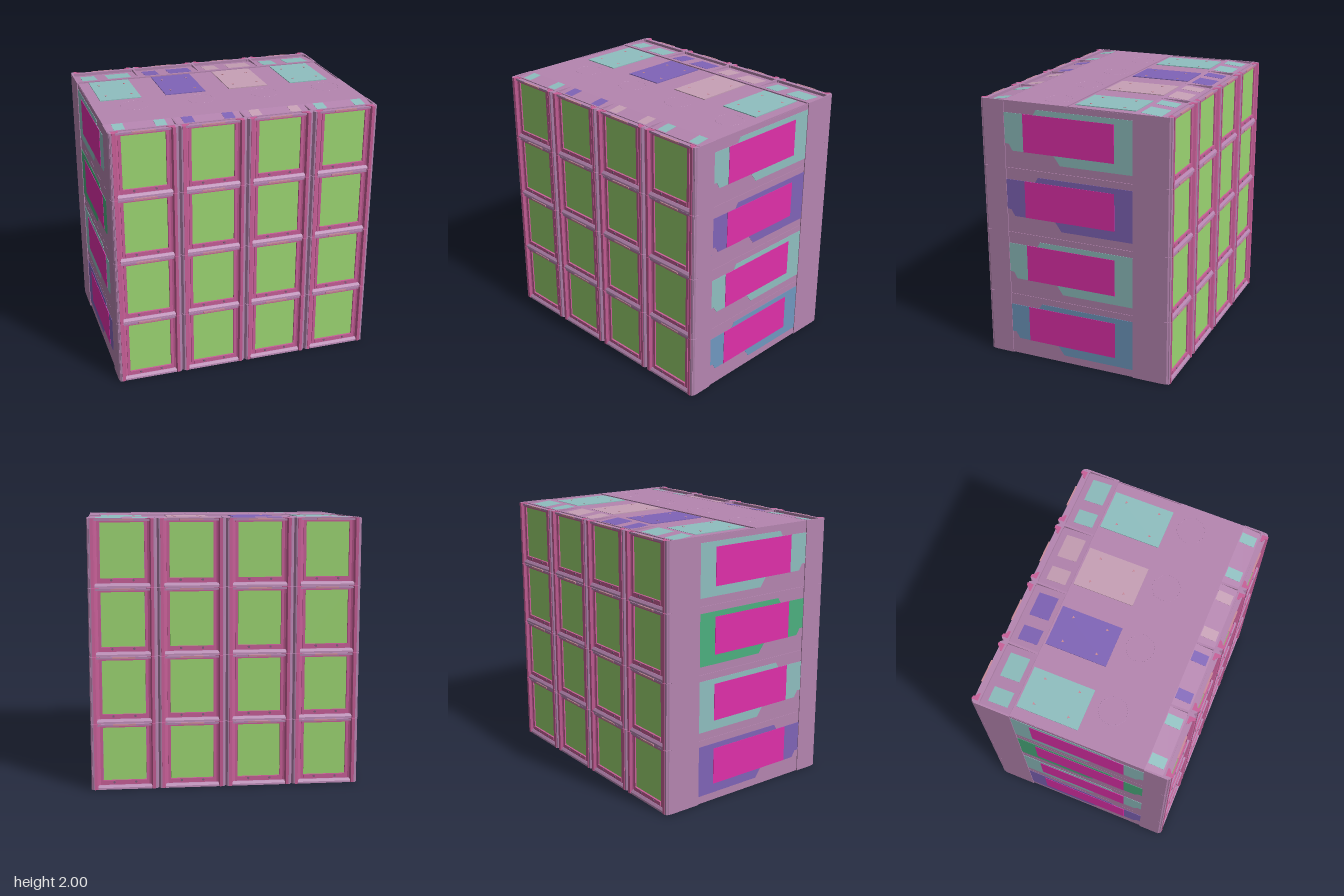
import * as THREE from 'three';

const mat = (color) => new THREE.MeshStandardMaterial({ color, flatShading: true, side: THREE.DoubleSide });
const M = {
  shell: mat(0xb585b0), dark: mat(0x84607f), pink: mat(0xc85f98), rose: mat(0xc98a9a),
  green: mat(0x9cd672), magenta: mat(0xe030aa), pipe: mat(0x6f88c0),
  teal: mat(0x8fbfc0), violet: mat(0x8064b8), blush: mat(0xc7a0b6), blue: mat(0x6f98c0), jade: mat(0x4cb080),
};

function add(parent, name, geo, material, x = 0, y = 0, z = 0) {
  const m = new THREE.Mesh(geo, material);
  m.name = name;
  m.position.set(x, y, z);
  parent.add(m);
  return m;
}
const box = (parent, name, material, w, h, d, x, y, z) =>
  add(parent, name, new THREE.BoxGeometry(w, h, d), material, x, y, z);
const outline = (pts) => new THREE.Shape(pts.map((p) => new THREE.Vector2(p[0], p[1])));
const rect = (x0, y0, x1, y1) => [[x0, y0], [x1, y0], [x1, y1], [x0, y1]];

// (z, y) outline swept along x, centred on x = 0
function sweepX(shape, width) {
  const g = new THREE.ExtrudeGeometry(shape, { depth: width, bevelEnabled: false });
  return g.rotateY(-Math.PI / 2).translate(width / 2, 0, 0);
}
// (x, z) outline swept upwards from y = 0
function sweepY(pts, height) {
  const g = new THREE.ExtrudeGeometry(outline(pts.map((p) => [p[0], -p[1]])), { depth: height, bevelEnabled: false });
  return g.rotateX(-Math.PI / 2);
}

// One window bay, facing +z, standing on y = 0
function makeBay(inner) {
  const bay = new THREE.Group();
  bay.name = 'windowBay';
  box(bay, 'backing', M.shell, 0.5, 0.5, 0.014, 0, 0.25, 0.69);
  box(bay, 'windowPanel', M.green, 0.316, 0.4, 0.016, 0, 0.27, 0.708);

  const ring = outline(rect(-0.18, 0.035, 0.18, 0.485));
  ring.holes.push(outline(rect(-0.16, 0.07, 0.16, 0.47)));
  add(bay, 'windowFrame', new THREE.ExtrudeGeometry(ring, { depth: 0.03, bevelEnabled: false }), M.pink, 0, 0, 0.695);

  // lower ledge with two bolts, grip at the top
  box(bay, 'ledge', M.pink, 0.32, 0.028, 0.012, 0, 0.056, 0.725);
  for (const s of [-1, 1]) {
    const bolt = add(bay, 'bolt', new THREE.CylinderGeometry(0.009, 0.009, 0.006, 8), M.dark, s * 0.08, 0.056, 0.733);
    bolt.rotation.x = Math.PI / 2;
  }
  add(bay, 'sill', sweepX(outline([[0.69, 0.002], [0.74, 0.002], [0.738, 0.015], [0.725, 0.032], [0.69, 0.04]]), 0.4), M.shell);
  box(bay, 'header', M.shell, 0.4, 0.014, 0.035, 0, 0.487, 0.7125);
  box(bay, 'grip', M.rose, 0.17, 0.012, 0.012, 0, 0.489, 0.731);

  // flared posts on both edges, with a V-shaped seam between neighbours
  for (const s of [-1, 1]) {
    const flare = [[0.168, 0.69], [0.172, 0.712], [0.195, 0.724], [0.205, 0.743], [0.226, 0.745], [0.226, 0.69]];
    const seam = [[0.226, 0.68], [0.226, 0.74], [0.236, 0.738], [0.25, 0.718], [0.25, 0.68]];
    add(bay, 'post', sweepY(flare.map(([x, z]) => [s * x, z]), 0.496), M.pink, 0, 0.002);
    add(bay, 'postEdge', sweepY(seam.map(([x, z]) => [s * x, z]), 0.496), M.shell, 0, 0.002);
    box(bay, 'rib', M.shell, 0.008, 0.5, 0.69 - inner, s * 0.246, 0.25, (0.69 + inner) / 2);
  }
  // sloping shelf behind the window
  add(bay, 'shelf', sweepX(outline([[inner, 0.5], [0.7, 0.478], [0.7, 0.468], [inner, 0.49]]), 0.492), M.shell);
  return bay;
}

// Coloured tiles on the sloping top edge: [x0, x1, z0, z1] from the bay centre
function addTiles(parent, cx, inner, tiles, material) {
  const slope = Math.atan2(0.022, 0.7 - inner);
  for (const [x0, x1, z0, z1] of tiles) {
    const z = (z0 + z1) / 2;
    const y = 2 - (z - inner) * Math.tan(slope);
    box(parent, 'edgeTile', material, x1 - x0, 0.003, z1 - z0, cx + (x0 + x1) / 2, y, z).rotation.x = slope;
  }
}

function makeFacade(inner, tiles, tileColors) {
  const facade = new THREE.Group();
  for (let c = 0; c < 4; c++) {
    const cx = -0.75 + c * 0.5;
    for (let r = 0; r < 4; r++) {
      const bay = makeBay(inner);
      bay.position.set(cx, r * 0.5, 0);
      facade.add(bay);
    }
    addTiles(facade, cx, inner, tiles, tileColors[c]);
  }
  return facade;
}

// One storey of a side wall; s is +1 or -1 for the side it stands on
function makeSideStorey(s, color, hasStrip) {
  const g = new THREE.Group();
  g.name = 'sideStorey';
  const wall = outline(rect(-0.735, 0.001, 0.735, 0.499));
  wall.holes.push(outline(rect(-0.67, 0.04, -0.5, 0.465)));
  add(g, 'sideWall', sweepX(wall, 0.006), M.shell, s * 0.99);

  // recessed vent with sloping sides
  const sides = new THREE.CylinderGeometry(Math.SQRT1_2, Math.SQRT1_2 * 0.8, 0.03, 4, 1, true);
  sides.rotateY(Math.PI / 4).rotateZ(-s * Math.PI / 2).scale(1, 0.425, 0.17);
  add(g, 'ventSides', sides, M.shell, s * 0.978, 0.2525, -0.585);
  box(g, 'ventFloor', M.dark, 0.004, 0.4, 0.145, s * 0.964, 0.2525, -0.585);

  const plate = outline([[0.62, 0.41], [0.62, 0.18], [0.52, 0.18], [0.49, 0.13], [0.16, 0.13], [0.11, 0.06],
    [-0.45, 0.06], [-0.45, 0.45], [0.29, 0.45], [0.315, 0.41]]);
  add(g, 'sidePlate', sweepX(plate, 0.004), color, s * 0.9935);
  box(g, 'displayPanel', M.magenta, 0.004, 0.28, 0.71, s * 0.996, 0.27, 0.045);

  // pipe and valve
  const pipe = new THREE.CylinderGeometry(0.013, 0.013, 0.41, 8);
  add(g, 'pipe', pipe, M.pipe, s * 0.987, 0.255, 0.565);
  box(g, 'valve', M.pipe, 0.008, 0.055, 0.05, s * 0.995, 0.25, 0.655);
  box(g, 'valveHandle', M.pipe, 0.008, 0.09, 0.018, s * 0.995, 0.25, 0.668);
  if (hasStrip) box(g, 'strip', M.pipe, 0.008, 0.39, 0.022, s * 0.995, 0.255, -0.462);
  return g;
}

function makeRoof() {
  const roof = new THREE.Group();
  roof.name = 'roof';
  box(roof, 'roofFront', M.shell, 1.99, 0.014, 0.5, 0, 1.992, 0.3);
  box(roof, 'roofRear', M.shell, 1.99, 0.006, 0.5, 0, 1.988, -0.2);
  [M.teal, M.violet, M.blush, M.teal].forEach((color, i) => {
    const cx = -0.75 + i * 0.5;
    box(roof, 'roofPanel', color, 0.312, 0.006, 0.46, cx - 0.004, 1.994, -0.205);
    for (const sx of [-1, 1]) {
      for (const sz of [-1, 1]) {
        const pin = new THREE.CylinderGeometry(0.012, 0.012, 0.003, 3);
        add(roof, 'roofPin', pin, M.rose, cx + sx * 0.098, 1.998, -0.2 + sz * 0.13);
      }
    }
    const hatch = add(roof, 'hatchRing', new THREE.TorusGeometry(0.105, 0.006, 6, 10), M.shell, cx + 0.06, 1.996, 0.2);
    hatch.rotation.x = Math.PI / 2;
    hatch.scale.z = 0.7;
  });
  return roof;
}

export function createModel() {
  const model = new THREE.Group();
  model.name = 'modularBlock';

  const front = makeFacade(0.55, [[-0.19, -0.11, 0.555, 0.67], [0.11, 0.19, 0.555, 0.67]],
    [M.teal, M.violet, M.blush, M.teal]);
  front.name = 'frontFacade';
  model.add(front);

  const back = makeFacade(0.45, [[-0.19, -0.005, 0.485, 0.635], [0.08, 0.195, 0.485, 0.635]],
    [M.teal, M.blush, M.violet, M.teal]);
  back.name = 'backFacade';
  back.rotation.y = Math.PI;
  model.add(back);

  // side walls, listed from the bottom storey up
  const colors = { 1: [M.blue, M.teal, M.violet, M.teal], '-1': [M.violet, M.teal, M.jade, M.teal] };
  for (const s of [1, -1]) {
    for (let r = 0; r < 4; r++) {
      const storey = makeSideStorey(s, colors[s][r], r % 2 === 0 ? r === 0 : r === 2);
      storey.position.y = r * 0.5;
      model.add(storey);
    }
  }
  model.add(makeRoof());
  return model;
}
